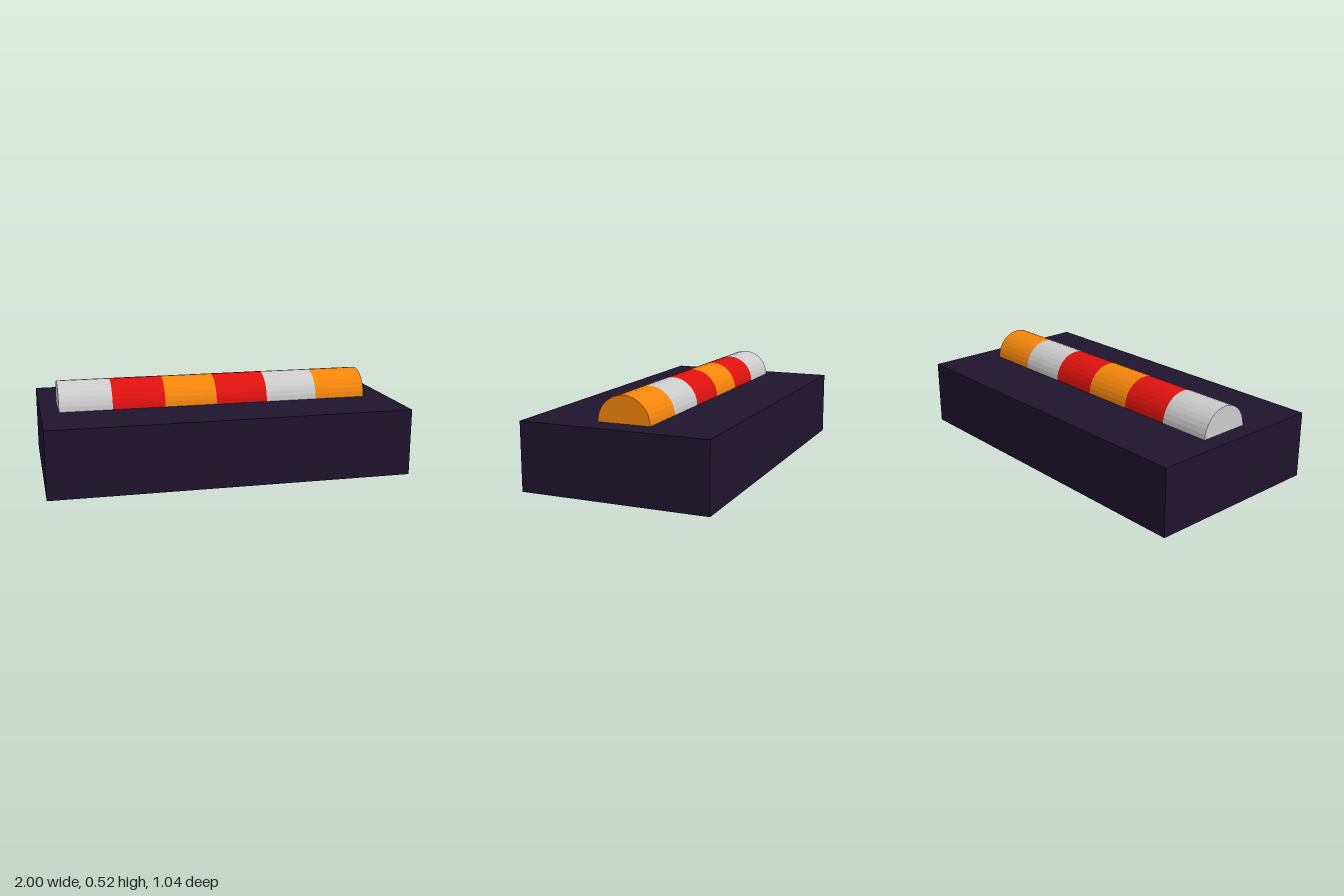
import * as THREE from 'three';

const WIDTH = 2, HEIGHT = 0.372, DEPTH = 1.036;
const RADIUS = 0.146, SEGMENT = 0.294, START = -0.9;

const paint = (color) => new THREE.MeshStandardMaterial({ color, flatShading: true });

export function createModel() {
  const model = new THREE.Group();
  model.name = 'stripedBarOnBlock';

  // Dark rectangular base block
  const base = new THREE.Mesh(new THREE.BoxGeometry(WIDTH, HEIGHT, DEPTH), paint(0x1f142e));
  base.name = 'base';
  base.position.y = HEIGHT / 2;
  model.add(base);

  // Row of coloured drums, sunk halfway into the top of the block
  const grey = paint(0xcccccc), red = paint(0xde120f), orange = paint(0xf4860c);
  const drum = new THREE.CylinderGeometry(RADIUS, RADIUS, SEGMENT, 32).rotateZ(Math.PI / 2);
  const bar = new THREE.Group();
  bar.name = 'stripedBar';
  [grey, red, orange, red, grey, orange].forEach((material, i) => {
    const segment = new THREE.Mesh(drum, material);
    segment.name = `barSegment${i + 1}`;
    segment.position.set(START + SEGMENT * (i + 0.5), HEIGHT, 0);
    bar.add(segment);
  });
  model.add(bar);

  return model;
}
